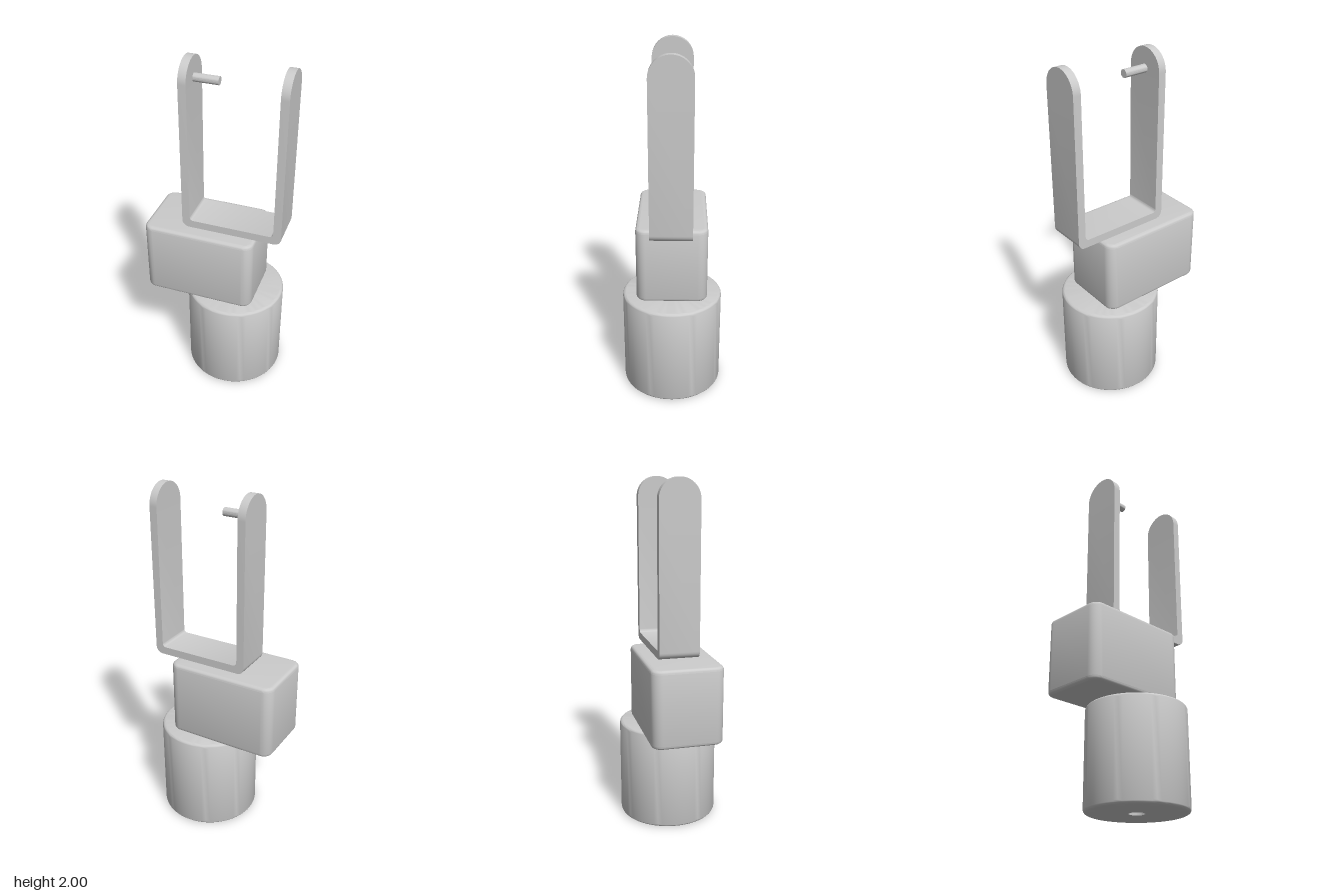
import * as THREE from 'three';
import { toCreasedNormals } from 'three/addons/utils/BufferGeometryUtils.js';

const material = new THREE.MeshStandardMaterial({ color: 0xcccccc });

function addPart(group, name, geometry, crease = 0.5) {
  const mesh = new THREE.Mesh(toCreasedNormals(geometry, crease), material);
  mesh.name = name;
  group.add(mesh);
  return mesh;
}

// Points of a quarter arc, both ends included
function arc(cx, cy, r, from, to, steps) {
  return Array.from({ length: steps + 1 }, (_, i) => {
    const a = from + (to - from) * i / steps;
    return new THREE.Vector2(cx + r * Math.cos(a), cy + r * Math.sin(a));
  });
}

// Rounded drum with a shaft hole in its underside
function drumGeometry() {
  const R = 0.287, H = 0.58, r = 0.02, hole = 0.045, depth = 0.12;
  const profile = [
    new THREE.Vector2(0, depth), new THREE.Vector2(hole, depth), new THREE.Vector2(hole, 0),
    ...arc(R - r, r, r, -Math.PI / 2, 0, 5),
    ...arc(R - r, H - r, r, 0, Math.PI / 2, 5),
    new THREE.Vector2(0, H),
  ];
  return new THREE.LatheGeometry(profile, 72);
}

// Block with round upright corners and a small bevel above and below
function blockGeometry() {
  const bevel = 0.02, hx = 0.323 - bevel, hz = 0.202 - bevel, r = 0.038, height = 0.44;
  const corners = [[1, 1], [-1, 1], [-1, -1], [1, -1]];
  const outline = corners.flatMap(([sx, sz], i) =>
    arc(sx * (hx - r), sz * (hz - r), r, i * Math.PI / 2, (i + 1) * Math.PI / 2, 8));
  const geometry = new THREE.ExtrudeGeometry(new THREE.Shape(outline), {
    depth: height - 2 * bevel, bevelSize: bevel, bevelThickness: bevel, bevelSegments: 4,
  });
  geometry.translate(0, 0, bevel - height / 2);
  return geometry.rotateX(-Math.PI / 2);
}

// U-shaped strap: rectangular sections along the U, narrowing to round tips
function strapGeometry() {
  const halfX = 0.289, bottom = 1.02, top = 2, t = 0.045, W = 0.115;
  const outerR = 0.04, innerR = 0.02, tipSteps = 16;
  const sections = [];
  // Left leg from the tip down, then the left bottom corner
  for (let i = 0; i <= tipSteps; i++) {
    const a = i / tipSteps * Math.PI / 2;
    const y = top - W + W * Math.cos(a);
    sections.push({ o: [-halfX, y], n: [-halfX + t, y], w: W * Math.sin(a) });
  }
  const outer = arc(-halfX + outerR, bottom + outerR, outerR, Math.PI, Math.PI * 1.5, 6);
  const inner = arc(-halfX + t + innerR, bottom + t + innerR, innerR, Math.PI, Math.PI * 1.5, 6);
  outer.forEach((p, i) => sections.push({ o: [p.x, p.y], n: [inner[i].x, inner[i].y], w: W }));
  // Right half is the mirror of the left
  const mirrored = sections.map(({ o, n, w }) => ({ o: [-o[0], o[1]], n: [-n[0], n[1]], w })).reverse();
  const rings = [...sections, ...mirrored].map(({ o, n, w }) =>
    [[...o, w], [...n, w], [...n, -w], [...o, -w]]);

  const positions = [];
  for (let i = 0; i < rings.length - 1; i++) {
    for (let k = 0; k < 4; k++) {
      const a = rings[i][k], b = rings[i + 1][k];
      const c = rings[i + 1][(k + 1) % 4], d = rings[i][(k + 1) % 4];
      positions.push(...a, ...b, ...c, ...a, ...c, ...d);
    }
  }
  const geometry = new THREE.BufferGeometry();
  geometry.setAttribute('position', new THREE.Float32BufferAttribute(positions, 3));
  return geometry;
}

export function createModel() {
  const model = new THREE.Group();
  model.name = 'bracketAssembly';
  const axisX = 0.104;

  addPart(model, 'drumBase', drumGeometry()).position.x = axisX;
  addPart(model, 'offsetBlock', blockGeometry()).position.set(-0.073, 0.8, 0);
  addPart(model, 'forkStrap', strapGeometry()).position.x = axisX;

  // Short pin on the inner side of one leg
  const pin = new THREE.CylinderGeometry(0.023, 0.023, 0.15, 20).rotateZ(Math.PI / 2);
  addPart(model, 'pin', pin).position.set(-0.075, 1.885, 0);

  return model;
}
